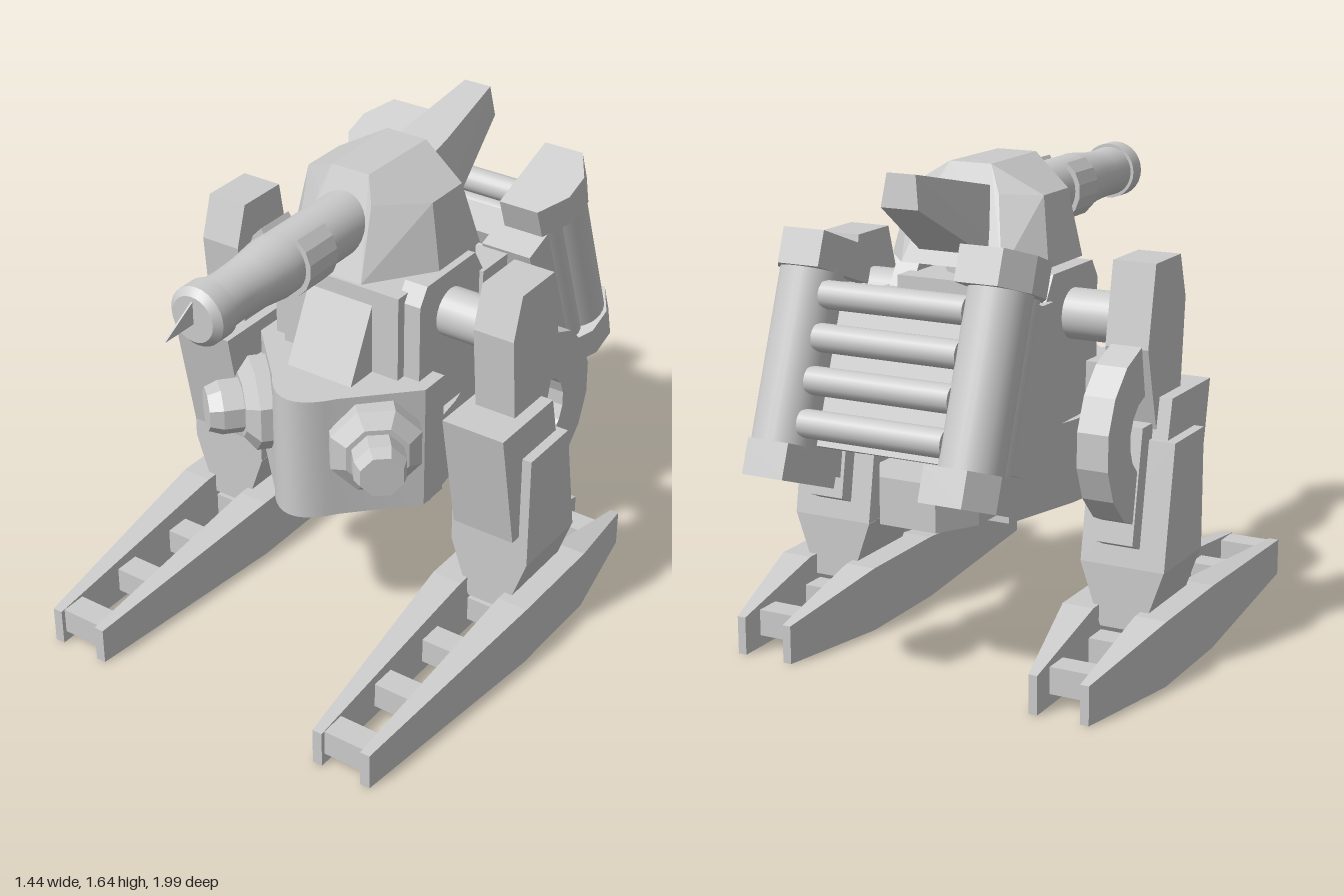
import * as THREE from 'three';
import { toCreasedNormals } from 'three/addons/utils/BufferGeometryUtils.js';
import { ConvexGeometry } from 'three/addons/geometries/ConvexGeometry.js';

const grey = new THREE.MeshStandardMaterial({ color: 0xcccccc });
const thin = new THREE.MeshStandardMaterial({ color: 0xcccccc, side: THREE.DoubleSide });
const V = (x, y, z) => new THREE.Vector3(x, y, z);

function add(parent, name, geometry, material = grey) {
  const mesh = new THREE.Mesh(geometry, material);
  mesh.name = name;
  parent.add(mesh);
  return mesh;
}
const shapeOf = (pts) => new THREE.Shape(pts.map(([a, b]) => new THREE.Vector2(a, b)));
const extrude = (shape, depth) =>
  new THREE.ExtrudeGeometry(shape, { depth, bevelEnabled: false, curveSegments: 8 });

// Side profile given as [z, y], extruded between two x values
function across(shape, a, b) {
  const x0 = Math.min(a, b), x1 = Math.max(a, b);
  return extrude(shape, x1 - x0).rotateY(-Math.PI / 2).translate(x1, 0, 0);
}
// Plan given as [x, z], extruded between two heights
const upward = (pts, y0, y1) =>
  extrude(shapeOf(pts.map(([x, z]) => [x, -z])), y1 - y0).rotateX(-Math.PI / 2).translate(0, y0, 0);

const box = (x0, x1, y0, y1, z0, z1) =>
  new THREE.BoxGeometry(Math.abs(x1 - x0), y1 - y0, z1 - z0)
    .translate((x0 + x1) / 2, (y0 + y1) / 2, (z0 + z1) / 2);

// Ring segment in the shape plane
function arcShape(cx, cy, r0, r1, a0, a1, n) {
  const pts = [];
  for (let i = 0; i <= n; i++) pts.push([r1, a0 + (a1 - a0) * i / n]);
  for (let i = n; i >= 0; i--) pts.push([r0, a0 + (a1 - a0) * i / n]);
  return shapeOf(pts.map(([r, a]) => [cx + r * Math.cos(a), cy + r * Math.sin(a)]));
}

function addFoot(parent, s) {
  const foot = new THREE.Group();
  foot.name = 'foot';
  parent.add(foot);
  // Two tapered rails: [z, height, outward bulge]
  const stations = [[0.9, 0.13, 0.035], [0.1, 0.22, 0.11], [-0.28, 0.22, 0.11], [-0.675, 0.13, 0.03]];
  for (const side of [-1, 1]) {
    const pts = [];
    for (const [z, h, w] of stations)
      for (const d of [0.073, 0.073 + w])
        pts.push(V(s * 0.538 + side * d, 0, z), V(s * 0.538 + side * d, h, z));
    add(foot, 'footRail', new ConvexGeometry(pts));
  }
  for (let i = 0; i < 6; i++) {
    const z = -0.545 + i * 0.277;
    add(foot, 'footRung', box(s * 0.46, s * 0.615, 0.04, 0.13, z - 0.045, z + 0.045));
  }
}

function addLeg(parent, s) {
  const leg = new THREE.Group();
  leg.name = 'leg';
  parent.add(leg);
  const side = (name, pts, x0, x1) => add(leg, name, across(shapeOf(pts), s * x0, s * x1));
  side('thigh', [[0.025, 1.335], [-0.165, 1.335], [-0.215, 1.07], [-0.13, 0.75], [0.03, 0.75], [0.07, 1.19]], 0.465, 0.612);
  side('shin', [[0.185, 0.9], [-0.12, 0.9], [-0.22, 0.465], [0.1, 0.465]], 0.43, 0.656);
  side('shinShell', [[0.06, 0.77], [-0.17, 0.77], [-0.24, 0.36], [0.06, 0.36]], 0.398, 0.69);
  side('calfPlate', [[-0.1, 0.82], [-0.22, 0.82], [-0.285, 0.45], [-0.22, 0.42]], 0.475, 0.6);
  // Ankle narrowing toward the foot
  const pts = [];
  for (const [y, w] of [[0.36, 0.146], [0.25, 0.073], [0.15, 0.073]])
    for (const d of [-w, w]) for (const z of [0.06, -0.24]) pts.push(V(s * 0.543 + d, y, z));
  add(leg, 'ankle', new ConvexGeometry(pts));
  add(leg, 'kneeGuard', across(arcShape(-0.17, 0.79, 0.13, 0.295, 1.75, 4.5, 7), s * 0.488, s * 0.594));
  add(leg, 'shoulderAxle', new THREE.CylinderGeometry(0.083, 0.083, 0.32, 28)
    .rotateZ(Math.PI / 2).translate(s * 0.35, 1.13, -0.078));
  addFoot(leg, s);
}

function addLamp(parent, s) {
  const lamp = new THREE.Group();
  lamp.name = 'headlamp';
  lamp.position.set(s * 0.21, 0.775, 0.245);
  lamp.rotation.y = s * 0.72;
  parent.add(lamp);
  // [rear radius, front radius, rear z, front z]
  for (const [r0, r1, z0, z1] of [[0.16, 0.16, -0.03, 0.06], [0.16, 0.11, 0.06, 0.1], [0.092, 0.092, 0.1, 0.17], [0.092, 0.075, 0.17, 0.215]])
    add(lamp, 'lampSection', toCreasedNormals(new THREE.CylinderGeometry(r1, r0, z1 - z0, 8)
      .rotateY(Math.PI / 8).rotateX(Math.PI / 2).translate(0, 0, (z0 + z1) / 2), 0.4));
}

function addBody(parent) {
  const body = new THREE.Group();
  body.name = 'body';
  parent.add(body);
  // Bow with curved nose
  const bow = [[-0.33, 0.02], [-0.33, 0.13]];
  for (let i = 0; i <= 10; i++) {
    const x = -0.13 + 0.026 * i;
    bow.push([x, 0.43 - 0.095 * (x / 0.13) ** 2]);
  }
  bow.push([0.33, 0.13], [0.33, 0.02]);
  add(body, 'bow', toCreasedNormals(upward(bow, 0.505, 0.95), 0.5));
  add(body, 'lowerHull', upward([[-0.33, 0.1], [0.33, 0.1], [0.3, -0.1], [0.22, -0.395], [-0.22, -0.395], [-0.3, -0.1]], 0.5, 0.78));
  add(body, 'torso', box(-0.225, 0.225, 0.6, 1.25, -0.32, 0.135));
  add(body, 'chestPanel', across(shapeOf([[0.26, 0.94], [0.135, 1.195], [0, 1.195], [0, 0.94]]), -0.125, 0.125));
  for (const s of [-1, 1]) {
    add(body, 'sidePlate', across(shapeOf([[0.1, 0.7], [0.1, 1.22], [0.06, 1.28], [-0.22, 1.28], [-0.27, 1.2], [-0.27, 0.7]]), s * 0.2, s * 0.285));
    add(body, 'rearRib', box(s * 0.14, s * 0.3, 0.7, 1.2, -0.4, -0.25));
    addLamp(body, s);
  }
  add(body, 'tail', upward([[-0.18, -0.35], [0.18, -0.35], [0.18, -0.52], [0.1, -0.655], [-0.1, -0.655], [-0.18, -0.52]], 0.525, 0.68));
  add(body, 'turretRing', new THREE.CylinderGeometry(0.16, 0.16, 0.1, 16).translate(0, 1.28, -0.08));
}

function addTurret(parent) {
  const turret = new THREE.Group();
  turret.name = 'turret';
  parent.add(turret);
  // Faceted dome: [y, half-width, z] on each side
  const dome = [
    [1.305, 0.13, 0.205], [1.305, 0.283, -0.01], [1.305, 0.283, -0.25], [1.305, 0.18, -0.37],
    [1.53, 0.1, 0.105], [1.525, 0.24, -0.03], [1.525, 0.24, -0.2], [1.53, 0.12, -0.275],
    [1.618, 0.07, 0.075], [1.618, 0.075, -0.24]];
  add(turret, 'dome', new ConvexGeometry(dome.flatMap(([y, x, z]) => [V(x, y, z), V(-x, y, z)])));
  const fin = [[1.36, 0.125, -0.28], [1.55, 0.085, -0.24], [1.35, 0.12, -0.36], [1.575, 0.08, -0.36], [1.535, 0.065, -0.68], [1.64, 0.05, -0.668]];
  add(turret, 'rearFin', new ConvexGeometry(fin.flatMap(([y, x, z]) => [V(x, y, z), V(-x, y, z)])));

  // Cannon along +z
  const cannon = new THREE.Group();
  cannon.name = 'cannon';
  cannon.position.y = 1.453;
  turret.add(cannon);
  const profile = [[0.1, 0], [0.1, 0.46], [0.101, 0.5], [0.088, 0.6], [0.083, 0.7], [0.086, 0.785], [0.097, 0.785], [0.097, 0.85], [0.075, 0.872], [0, 0.872]];
  add(cannon, 'barrel', toCreasedNormals(
    new THREE.LatheGeometry(profile.map(([r, z]) => new THREE.Vector2(r, z)), 28).rotateX(Math.PI / 2), 0.5));
  for (const mid of [0, Math.PI])
    add(cannon, 'barrelClamp', extrude(arcShape(0, 0, 0.09, 0.118, mid - 0.95, mid + 0.95, 5), 0.14).translate(0, 0, 0.31));
  add(cannon, 'muzzleSpike', across(shapeOf([[0.87, -0.015], [1.0, -0.015], [0.87, 0.06]]), -0.003, 0.003), thin);
}

function addRadiator(parent) {
  const rad = new THREE.Group();
  rad.name = 'radiator';
  rad.position.set(0, 1.048, -0.72);
  rad.rotation.x = THREE.MathUtils.degToRad(20);
  parent.add(rad);
  for (const s of [-1, 1]) {
    const cap = [[0.235, -0.152], [0.38, -0.152], [0.443, -0.05], [0.443, 0.05], [0.38, 0.152], [0.235, 0.152]].map(([x, z]) => [s * x, z]);
    add(rad, 'lowerCap', upward(cap, -0.383, -0.27));
    add(rad, 'upperCap', upward(cap, 0.27, 0.383));
    add(rad, 'column', new THREE.CylinderGeometry(0.1, 0.1, 0.56, 28).translate(s * 0.33, 0, -0.03));
    add(rad, 'slimColumn', new THREE.CylinderGeometry(0.062, 0.062, 0.56, 20).translate(s * 0.34, 0, 0.08));
    add(rad, 'columnMount', box(s * 0.2, s * 0.385, -0.26, 0.26, 0.1, 0.245));
  }
  add(rad, 'backPlate', box(-0.3, 0.3, -0.26, 0.26, 0.08, 0.2));
  add(rad, 'bracket', box(-0.2, 0.2, -0.2, 0.2, 0.2, 0.38));
  for (let i = 0; i < 4; i++)
    add(rad, 'coolingTube', new THREE.CylinderGeometry(0.045, 0.045, 0.5, 20)
      .rotateZ(Math.PI / 2).translate(0, -0.2 + i * 0.133, -0.06));
}

export function createModel() {
  const model = new THREE.Group();
  model.name = 'walker';
  addBody(model);
  addTurret(model);
  addRadiator(model);
  for (const s of [-1, 1]) addLeg(model, s);
  return model;
}
